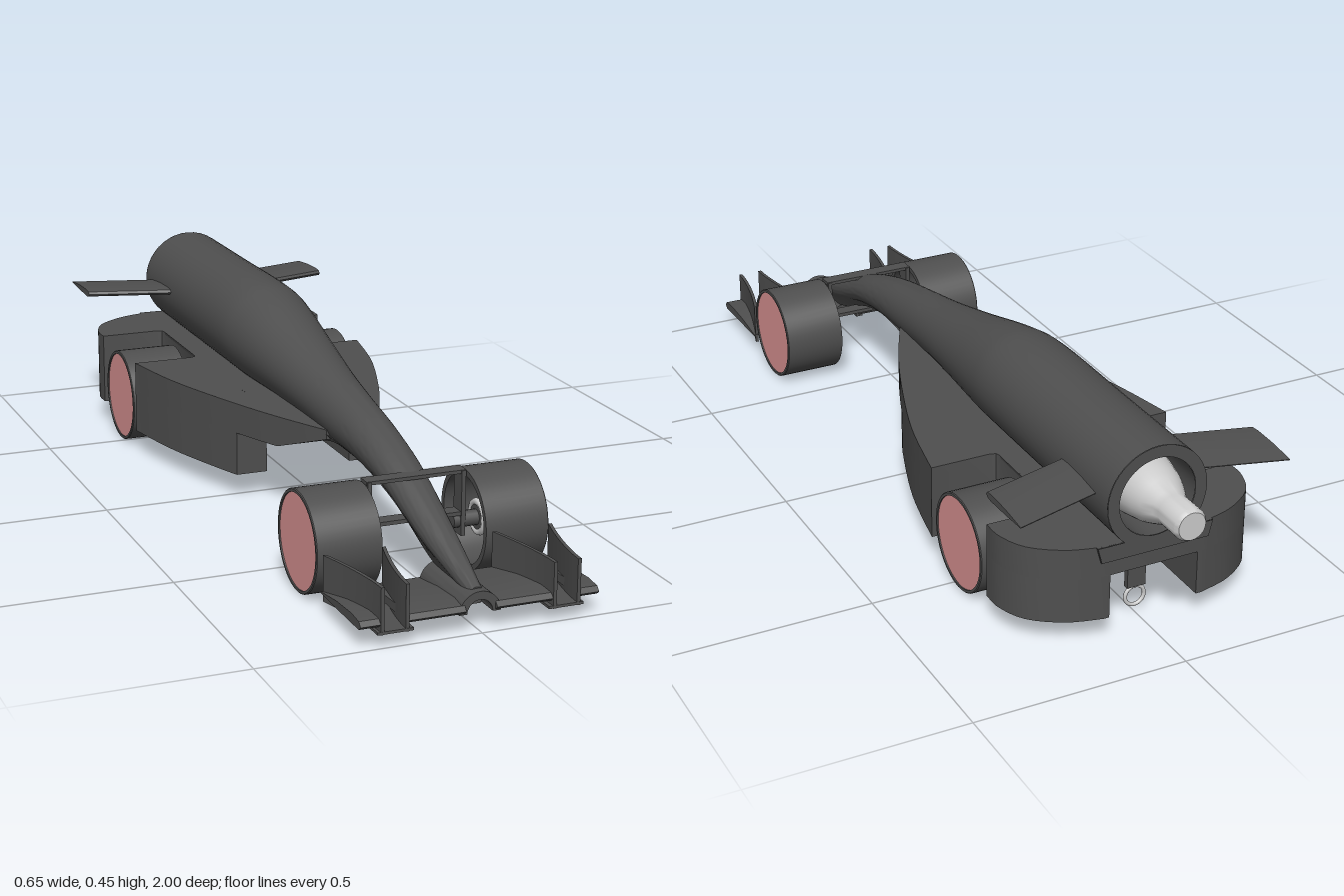
import * as THREE from 'three';
import { toCreasedNormals } from 'three/addons/utils/BufferGeometryUtils.js';

const material = (color) => new THREE.MeshStandardMaterial({ color, side: THREE.DoubleSide });
const dark = material(0x4f4f4f), light = material(0xcccccc), red = material(0xdf9696);
const V = (x, y) => new THREE.Vector2(x, y);

export function createModel() {
  const model = new THREE.Group();
  const add = (name, geometry, mat = dark, parent = model) => {
    const mesh = new THREE.Mesh(geometry, mat);
    mesh.name = name;
    parent.add(mesh);
    return mesh;
  };
  const box = (name, w, h, d, x, y, z) =>
    add(name, new THREE.BoxGeometry(w, h, d).translate(x, y, z));
  const mirrorX = (pts) => pts.map((p) => V(-p.x, p.y)).reverse();
  // Extrude a plan outline (x, z) downwards from top to bottom
  const slab = (pts, top, bottom) => new THREE.ExtrudeGeometry(new THREE.Shape(pts),
    { depth: top - bottom, bevelEnabled: false }).rotateX(Math.PI / 2).translate(0, top, 0);

  // Fuselage stations: z, rx, yc, ry, flare x, flare y, bottom x, bottom y
  const stations = [
    [-0.86, 0.12, 0.33, 0.12, 0.14, 0.238, 0.13, 0.2],
    [-0.58, 0.12, 0.33, 0.12, 0.14, 0.238, 0.13, 0.2],
    [-0.3, 0.12, 0.33, 0.12, 0.14, 0.238, 0.13, 0.2],
    [-0.18, 0.112, 0.321, 0.114, 0.14, 0.238, 0.12, 0.19],
    [0, 0.092, 0.3, 0.09, 0.125, 0.238, 0.09, 0.18],
    [0.17, 0.074, 0.278, 0.073, 0.09, 0.235, 0.06, 0.18],
    [0.3, 0.064, 0.26, 0.067, 0.064, 0.228, 0.04, 0.205],
    [0.45, 0.056, 0.242, 0.054, 0.05, 0.214, 0.03, 0.195],
    [0.6, 0.049, 0.208, 0.042, 0.042, 0.183, 0.022, 0.162],
    [0.78, 0.037, 0.14, 0.034, 0.03, 0.12, 0.018, 0.09],
    [0.97, 0.016, 0.075, 0.017, 0.012, 0.066, 0.01, 0.056]];
  const curves = stations[0].map((_, k) => new THREE.SplineCurve(stations.map((s) => V(s[0], s[k]))));
  const section = (t) => {
    const [z, rx, yc, ry, fx, fy, bx, by] = curves.map((c) => c.getPoint(t).y);
    const half = [];
    for (let i = 0; i <= 16; i++) {
      const a = Math.PI * (0.5 - 0.78 * i / 16);
      half.push(V(rx * Math.cos(a), yc + ry * Math.sin(a)));
    }
    // concave fillet from the round body to the shoulder
    const e = half[16];
    half.push(V(e.x * 0.88 + fx * 0.12, e.y * 0.55 + fy * 0.45), V(fx, fy), V(bx, by));
    return { z, ring: [...half, ...mirrorX(half)] };
  };
  const pos = [], idx = [], rows = 60;
  for (let j = 0; j <= rows; j++) {
    const { z, ring } = section(j / rows), n = ring.length;
    ring.forEach((p) => pos.push(p.x, p.y, z));
    for (let i = 0; j < rows && i < n; i++) {
      const a = j * n + i, b = j * n + (i + 1) % n;
      idx.push(a, a + n, b, b, a + n, b + n);
    }
  }
  const loft = new THREE.BufferGeometry();
  loft.setAttribute('position', new THREE.Float32BufferAttribute(pos, 3));
  loft.setIndex(idx);
  // caps keep the lofted skin closed at both ends
  add('fuselage', toCreasedNormals(loft, 0.7));
  const rear = new THREE.Shape(section(0).ring);
  rear.holes.push(new THREE.Path().absarc(0, 0.33, 0.092, 0, Math.PI * 2, true));
  add('rearFace', new THREE.ShapeGeometry(rear, 32).rotateY(Math.PI).translate(0, 0, -0.861));
  add('noseTip', new THREE.ShapeGeometry(new THREE.Shape(section(1).ring)).translate(0, 0, 0.97));
  add('canisterBore', new THREE.CylinderGeometry(0.092, 0.092, 0.36, 40, 1, true)
    .rotateX(Math.PI / 2).translate(0, 0.33, -0.68));

  // Gas canister with a narrowing neck
  const profile = [V(0, 0), V(0.075, 0), V(0.075, 0.3), V(0.064, 0.355), V(0.055, 0.38), V(0.042, 0.41),
    V(0.038, 0.425), V(0.038, 0.49), V(0.032, 0.5), V(0, 0.5)];
  add('canister', toCreasedNormals(new THREE.LatheGeometry(profile, 32), 0.6)
    .rotateX(-Math.PI / 2).translate(0, 0.33, -0.5), light);

  // Side pods: floor slab plus deep lower walls leaving a central tunnel
  const front = new THREE.SplineCurve([V(0.062, 0.3), V(0.13, 0.16), V(0.195, 0), V(0.262, -0.2), V(0.302, -0.39)]).getPoints(24);
  const back = [V(0.155, -0.39), V(0.143, -0.395), V(0.138, -0.41), V(0.138, -0.645), V(0.143, -0.66), V(0.155, -0.665),
    ...new THREE.SplineCurve([V(0.302, -0.665), V(0.3, -0.72), V(0.27, -0.785), V(0.2, -0.835), V(0.12, -0.858)]).getPoints(14)];
  const half = [...front, ...back];
  const deck = slab([...half, ...mirrorX(half)], 0.238, 0.165);
  const p = deck.attributes.position;
  for (let i = 0; i < p.count; i++) {
    if (p.getY(i) < 0.2 && p.getZ(i) > 0.16) p.setY(i, 0.165 + (p.getZ(i) - 0.16) * 0.36);
  }
  add('podDeck', toCreasedNormals(deck, 0.5));
  const wall = [V(0.107, 0.03), V(0.183, 0.03), ...front.filter((q) => q.y < 0.02), ...back, V(0.107, -0.858)];
  add('podWallLeft', toCreasedNormals(slab(wall, 0.166, 0.06), 0.5));
  add('podWallRight', toCreasedNormals(slab(mirrorX(wall), 0.166, 0.06), 0.5));

  // Wheels: hollow on the inner side, coloured disc on the outer side
  const tyre = [V(0, 0.1), V(0.098, 0.1), V(0.102, 0), V(0.115, 0), V(0.115, 0.148),
    V(0.113, 0.15), V(0.107, 0.15), V(0.107, 0.144)];
  const makeWheel = (name, side, x, z) => {
    const wheel = new THREE.Group();
    wheel.name = name;
    const axial = (g, at) => g.rotateZ(-Math.PI / 2).translate(at, 0, 0);
    add('tyre', toCreasedNormals(axial(new THREE.LatheGeometry(tyre, 48), 0), 0.6), dark, wheel);
    add('wheelDisc', axial(new THREE.CylinderGeometry(0.108, 0.108, 0.004, 48), 0.145), red, wheel);
    add('hub', axial(new THREE.CylinderGeometry(0.028, 0.028, 0.07, 24), 0.065), dark, wheel);
    add('bearing', new THREE.TorusGeometry(0.034, 0.008, 8, 28).rotateY(Math.PI / 2).translate(0.035, 0, 0), light, wheel);
    add('axleStub', axial(new THREE.CylinderGeometry(0.018, 0.018, 0.08, 16), 0.01), dark, wheel);
    wheel.position.set(side * x, 0.117, z);
    if (side < 0) wheel.rotation.y = Math.PI;
    model.add(wheel);
  };

  // Rear wing airfoil, swept back towards its tips
  const foil = new THREE.Shape([V(0, 0.342), V(0.006, 0.348), V(0.03, 0.35), V(0.09, 0.348), V(0.157, 0.341),
    V(0.157, 0.339), V(0.09, 0.335), V(0.02, 0.333), V(0.005, 0.336)]);
  // Front wing airfoil
  const frontFoil = new THREE.Shape([V(0, 0.053), V(0.01, 0.063), V(0.05, 0.067), V(0.13, 0.063), V(0.215, 0.052),
    V(0.215, 0.049), V(0.1, 0.046), V(0.01, 0.045)]);
  const span = (shape, x0, x1, z) => new THREE.ExtrudeGeometry(shape, { depth: x1 - x0, bevelEnabled: false })
    .rotateY(Math.PI / 2).translate(x0, 0, z);
  const vane = (x0, x1) => {
    const line = (o) => Array.from({ length: 9 }, (_, i) => V(x0 + (x1 - x0) * (i / 8) ** 1.6 + o, 0.998 - 0.213 * i / 8));
    return toCreasedNormals(slab([...line(0.004), ...line(-0.004).reverse()], 0.133, 0.03), 0.5);
  };

  for (const s of [1, -1]) {
    const label = s > 0 ? 'Left' : 'Right';
    makeWheel('frontWheel' + label, s, 0.121, 0.648);
    makeWheel('rearWheel' + label, s, 0.152, -0.525);
    box('frontUpright' + label, 0.01, 0.15, 0.04, s * 0.111, 0.16, 0.648);

    const place = (name, g) => { add(name + label, g).scale.x = s; };
    const wing = span(foil, 0.1, 0.325, -0.645);
    const w = wing.attributes.position;
    for (let i = 0; i < w.count; i++) w.setZ(i, w.getZ(i) - (w.getX(i) - 0.1) * 0.28);
    place('rearWing', toCreasedNormals(wing, 0.5));

    place('frontWingInner', toCreasedNormals(span(frontFoil, 0.035, 0.165, 0.998), 0.5));
    place('frontWingOuter', toCreasedNormals(span(frontFoil, 0.225, 0.27, 0.998), 0.5));
    place('frontWingFloor', new THREE.BoxGeometry(0.08, 0.006, 0.213).translate(0.193, 0.034, 0.892));
    place('innerVane', vane(0.167, 0.128));
    place('outerVane', vane(0.222, 0.262));
  }

  // Front axle frame
  box('frontTopBar', 0.235, 0.008, 0.035, 0, 0.232, 0.648);
  box('frontAxleBar', 0.235, 0.009, 0.035, 0, 0.136, 0.648);

  // Arched centre section joining the front wings under the nose
  const arch = new THREE.Shape().absarc(0, 0.042, 0.047, 0, Math.PI, false);
  arch.absarc(0, 0.042, 0.029, Math.PI, 0, true);
  add('frontWingArch', toCreasedNormals(new THREE.ExtrudeGeometry(arch,
    { depth: 0.2, bevelEnabled: false, curveSegments: 24 }).translate(0, 0, 0.788), 0.5));

  // Guide eyelets under the nose and tail
  const eyelet = (name, z) => add(name, new THREE.TorusGeometry(0.0235, 0.0045, 10, 32).translate(0, 0.043, z), light);
  eyelet('frontEyelet', 0.89);
  eyelet('rearEyelet', -0.78);
  box('rearEyeletBracket', 0.045, 0.1, 0.014, 0, 0.118, -0.78);
  return model;
}
